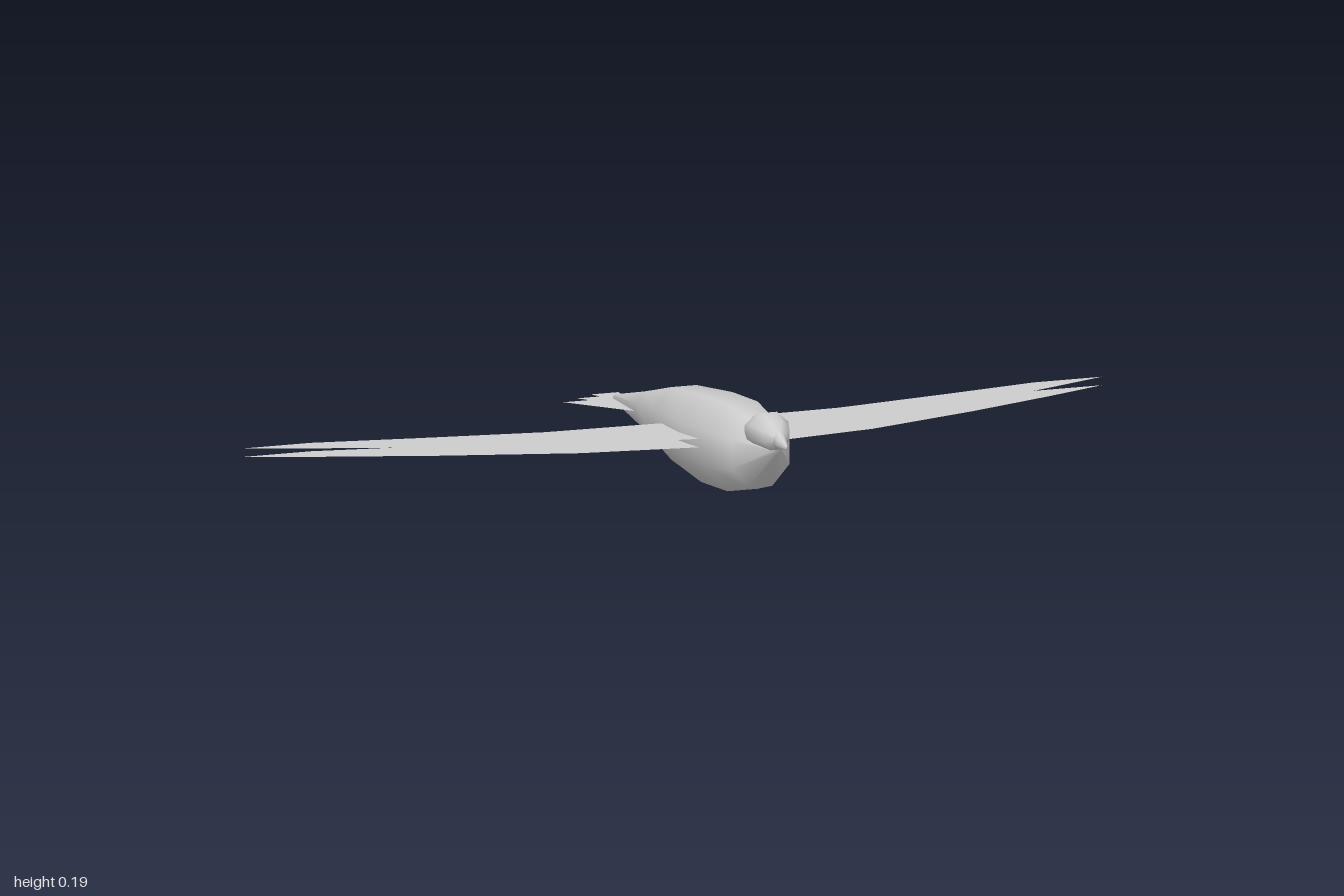
import * as THREE from 'three';

const grey = new THREE.MeshStandardMaterial({ color: 0xcccccc });
const sheetGrey = new THREE.MeshStandardMaterial({ color: 0xcccccc, side: THREE.DoubleSide });

// Smooth skin over octagonal rings, listed front to back as [z, bottom, top, halfWidth]
function loft(name, rings, sides = 8) {
  const pos = [], index = [];
  const k = 1 / Math.cos(Math.PI / sides);
  for (const [z, bottom, top, w] of rings) {
    for (let i = 0; i < sides; i++) {
      const a = ((i + 0.5) / sides) * Math.PI * 2;
      pos.push(Math.cos(a) * w * k, (top + bottom) / 2 + Math.sin(a) * k * (top - bottom) / 2, z);
    }
  }
  for (let r = 0; r < rings.length - 1; r++) {
    for (let i = 0; i < sides; i++) {
      const a = r * sides + i, b = r * sides + (i + 1) % sides;
      index.push(a, a + sides, b, b, a + sides, b + sides);
    }
  }
  // close both ends
  const last = (rings.length - 1) * sides;
  for (let i = 1; i < sides - 1; i++) {
    index.push(0, i, i + 1, last, last + i + 1, last + i);
  }
  const geo = new THREE.BufferGeometry();
  geo.setAttribute('position', new THREE.Float32BufferAttribute(pos, 3));
  geo.setIndex(index);
  geo.computeVertexNormals();
  const mesh = new THREE.Mesh(geo, grey);
  mesh.name = name;
  return mesh;
}

// Flat horizontal sheet from an [x, z] outline
function sheet(name, outline, y) {
  const shape = new THREE.Shape(outline.map(([x, z]) => new THREE.Vector2(x, -z)));
  const geo = new THREE.ShapeGeometry(shape).rotateX(-Math.PI / 2);
  const mesh = new THREE.Mesh(geo, sheetGrey);
  mesh.position.y = y;
  mesh.name = name;
  return mesh;
}

export function createModel() {
  const bird = new THREE.Group();
  bird.name = 'bird';

  bird.add(loft('body', [
    [0.388, 0.105, 0.125, 0.012],
    [0.312, 0.022, 0.168, 0.067],
    [0.225, 0.001, 0.187, 0.085],
    [0.1, 0.001, 0.187, 0.088],
    [-0.06, 0.022, 0.177, 0.07],
    [-0.22, 0.06, 0.141, 0.037],
    [-0.385, 0.092, 0.108, 0.01],
    [-0.4, 0.099, 0.101, 0.002],
  ]));

  bird.add(loft('head', [
    [0.408, 0.127, 0.15, 0.012],
    [0.39, 0.113, 0.172, 0.03],
    [0.353, 0.108, 0.187, 0.045],
    [0.322, 0.11, 0.178, 0.042],
    [0.295, 0.125, 0.169, 0.025],
  ]));

  bird.add(loft('beak', [
    [0.44, 0.12, 0.129, 0.002],
    [0.415, 0.119, 0.147, 0.011],
    [0.385, 0.12, 0.168, 0.022],
  ]));

  // Each wing is an upper and a lower sheet of the same outline
  const wing = [
    [0.04, 0.195], [0.1, 0.188], [0.34, 0.147], [0.62, 0.047], [0.84, -0.045],
    [1, -0.118], [0.84, -0.118], [0.62, -0.073], [0.34, -0.021], [0.04, -0.012],
  ];
  for (const [side, s] of [['left', 1], ['right', -1]]) {
    const group = new THREE.Group();
    group.name = side + 'Wing';
    const outline = wing.map(([x, z]) => [x * s, z]);
    group.add(sheet('upperWingSheet', outline, 0.111), sheet('lowerWingSheet', outline, 0.093));
    bird.add(group);
  }

  // Stepped tail fan
  const half = [
    [0.022, -0.2], [0.125, -0.385], [0.066, -0.385], [0.078, -0.415],
    [0.026, -0.415], [0.032, -0.445],
  ];
  bird.add(sheet('tail', [...half, ...half.map(([x, z]) => [-x, z]).reverse()], 0.1));

  return bird;
}
